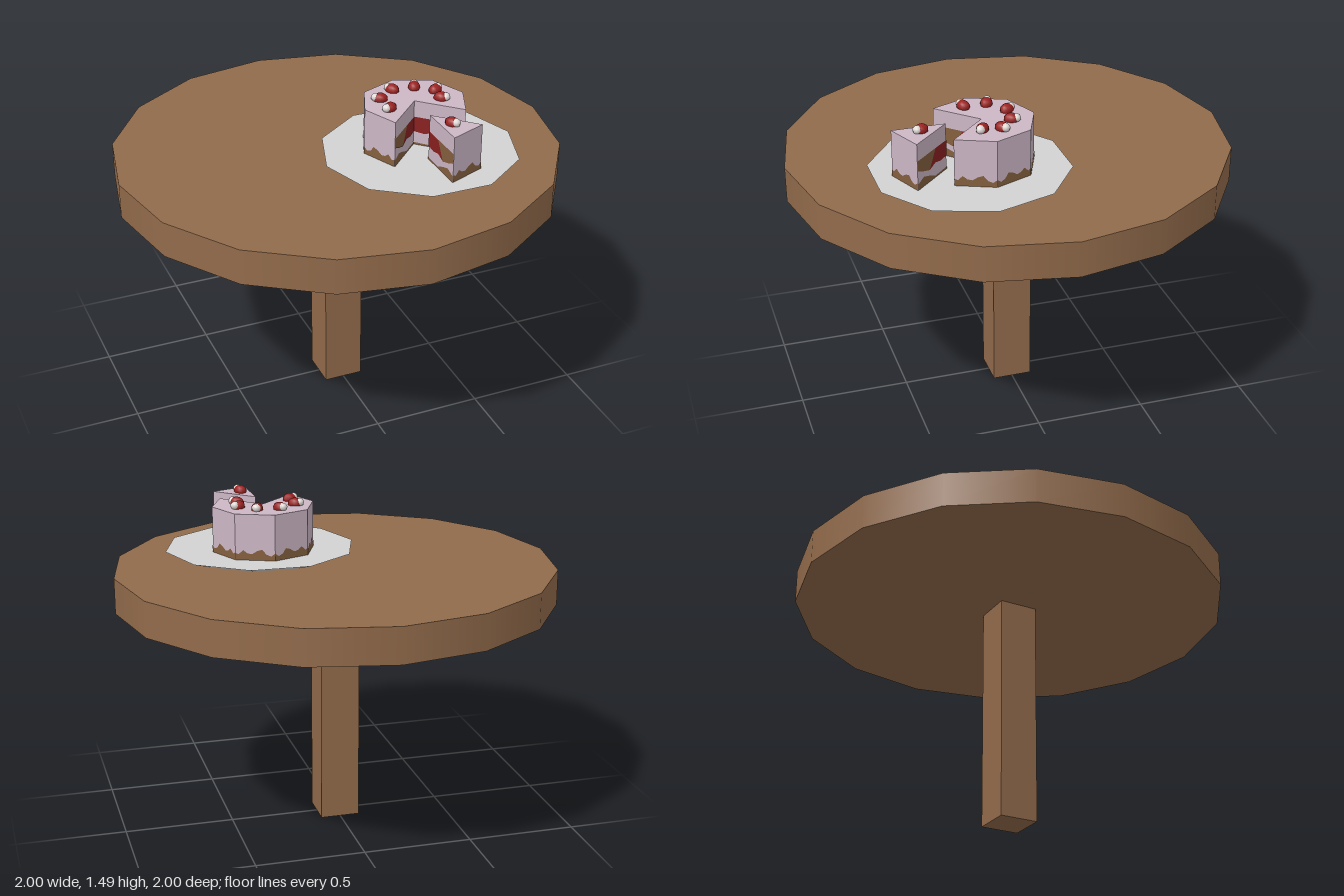
import * as THREE from 'three';

const mat = (name, color) => {
  const m = new THREE.MeshStandardMaterial({ color });
  m.name = name;
  return m;
};

export function createModel() {
  const wood = mat('wood', 0x926b4b);
  const china = mat('china', 0xd2d2d2);
  const icing = mat('pink icing', 0xcdb7c6);
  const sponge = mat('brown sponge', 0x85603e);
  const jam = mat('red jam', 0x8a2020);
  const red = mat('berry red', 0x9c2222);
  const cream = mat('cream', 0xe2dcd8);

  const model = new THREE.Group();
  model.name = 'cakeTable';
  const add = (parent, name, geo, material, x = 0, y = 0, z = 0) => {
    const mesh = new THREE.Mesh(geo, material);
    mesh.name = name;
    mesh.position.set(x, y, z);
    parent.add(mesh);
    return mesh;
  };

  // Table and plate
  add(model, 'tableTop', new THREE.CylinderGeometry(1, 1, 0.16, 16), wood, 0, 1.13, 0);
  add(model, 'tableLeg', new THREE.BoxGeometry(0.18, 1.05, 0.18), wood, 0, 0.525, 0);
  add(model, 'plate', new THREE.CylinderGeometry(0.44, 0.32, 0.038, 10, 1, false, Math.PI / 2),
    china, 0.29, 1.229, 0.253);

  // Cake dimensions; patterns are (fraction along the wall, height) points
  const BASE = 1.246, HEIGHT = 0.21, R = 0.235;
  const crumbs = [[0, 0], [1, 0], [1, 0.035], [0.9, 0.022], [0.78, 0.03], [0.68, 0.052],
    [0.55, 0.045], [0.42, 0.03], [0.3, 0.034], [0.2, 0.048], [0.08, 0.028], [0, 0.035]];
  const cutCrumbs = [[0, 0], [1, 0], [1, 0.012], [0.6, 0.01], [0.4, 0.03], [0.2, 0.045], [0, 0.03]];
  const cutSponge = [[0, 0.09], [0.2, 0.07], [0.4, 0.055], [0.5, 0.09], [0.62, 0.135], [0, 0.135]];
  const cutJam = [[0.4, 0.055], [0.6, 0.07], [0.8, 0.06], [1, 0.065], [1, 0.135], [0.62, 0.135], [0.5, 0.09]];

  // Flat painted patch on the wall running left to right from a to b
  const patch = (parent, name, a, b, points, material, flip) => {
    const r = new THREE.Vector3(b[0] - a[0], 0, b[1] - a[1]);
    const len = r.length();
    r.normalize();
    const up = new THREE.Vector3(0, 1, 0);
    const n = r.clone().cross(up);
    const shape = new THREE.Shape(points.map(([u, y]) => new THREE.Vector2((flip ? 1 - u : u) * len, y)));
    const geo = new THREE.ShapeGeometry(shape);
    geo.applyMatrix4(new THREE.Matrix4().makeBasis(r, up, n));
    add(parent, name, geo, material, a[0] + n.x * 0.002, 0, a[1] + n.z * 0.002);
  };

  // Piece of an eight-sided cake between two corner numbers, corner 0 at the front
  const cakePiece = (name, from, to, x, z) => {
    const piece = new THREE.Group();
    piece.name = name;
    piece.position.set(x, BASE, z);
    const pts = [[0, 0]];
    for (let i = from; i <= to; i++) {
      const t = i * Math.PI / 4;
      pts.push([Math.sin(t) * R, Math.cos(t) * R]);
    }
    const shape = new THREE.Shape(pts.map(p => new THREE.Vector2(p[0], -p[1])));
    const geo = new THREE.ExtrudeGeometry(shape, { depth: HEIGHT, bevelEnabled: false });
    geo.rotateX(-Math.PI / 2);
    add(piece, 'icingBody', geo, icing);
    pts.forEach((a, i) => {
      const b = pts[(i + 1) % pts.length];
      const last = i === pts.length - 1;
      if (i === 0 || last) {
        patch(piece, 'cutCrust', a, b, cutCrumbs, sponge, i === 0);
        patch(piece, 'cutSponge', a, b, cutSponge, sponge, i === 0);
        patch(piece, 'cutJam', a, b, cutJam, jam, i === 0);
      } else {
        patch(piece, 'crumbEdge', a, b, crumbs, sponge, i % 2 === 0);
      }
    });
    model.add(piece);
  };
  cakePiece('cake', 1, 7, 0.285, 0.2);
  cakePiece('slice', 0, 1, 0.285, 0.355);

  // Berries, each with a cream tip pointing outwards (x, z, heading)
  const berries = [[0.15, 0.137, -2.0], [0.237, 0.072, -2.6], [0.338, 0.083, 2.75],
    [0.41, 0.147, 2.1], [0.4, 0.228, 0.9], [0.15, 0.24, -1.2], [0.332, 0.472, 0.45]];
  const berryGeo = new THREE.SphereGeometry(1, 10, 7);
  berryGeo.scale(0.027, 0.025, 0.034);
  const tipGeo = new THREE.SphereGeometry(1, 8, 6);
  tipGeo.scale(0.02, 0.019, 0.02);
  for (const [x, z, heading] of berries) {
    const berry = new THREE.Group();
    berry.name = 'berry';
    berry.position.set(x, 1.465, z);
    berry.rotation.y = heading;
    add(berry, 'berryBody', berryGeo, red);
    add(berry, 'creamTip', tipGeo, cream, 0, 0.005, 0.021);
    model.add(berry);
  }
  return model;
}
